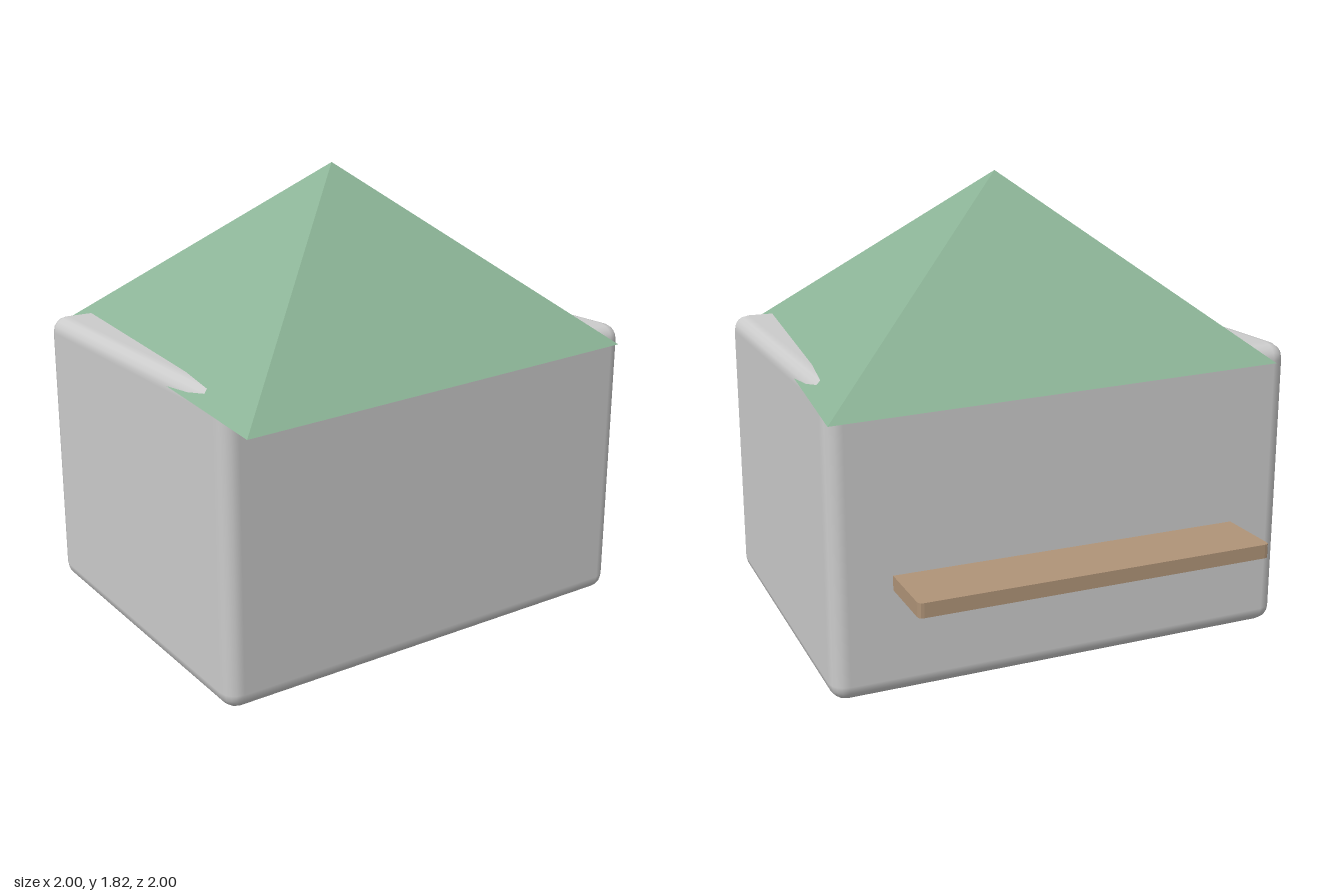
import * as THREE from 'three';
import { RoundedBoxGeometry } from 'three/addons/geometries/RoundedBoxGeometry.js';

const mat = (color, flatShading = false) => new THREE.MeshStandardMaterial({ color, flatShading });

function addMesh(group, name, geometry, material) {
  const mesh = new THREE.Mesh(geometry, material);
  mesh.name = name;
  group.add(mesh);
  return mesh;
}

// Flat board in the XZ plane with rounded vertical corners
function boardGeometry(w, d, h, r) {
  const x = w / 2, z = d / 2;
  const s = new THREE.Shape();
  s.moveTo(-x + r, -z);
  s.lineTo(x - r, -z);
  s.quadraticCurveTo(x, -z, x, -z + r);
  s.lineTo(x, z - r);
  s.quadraticCurveTo(x, z, x - r, z);
  s.lineTo(-x + r, z);
  s.quadraticCurveTo(-x, z, -x, z - r);
  s.lineTo(-x, -z + r);
  s.quadraticCurveTo(-x, -z, -x + r, -z);
  const g = new THREE.ExtrudeGeometry(s, { depth: h, bevelEnabled: false, curveSegments: 3 });
  return g.rotateX(-Math.PI / 2);
}

export function createModel() {
  const model = new THREE.Group();
  model.name = 'kiosk';

  // Walls: one softly rounded block
  const walls = addMesh(model, 'walls', new RoundedBoxGeometry(1.875, 1.17, 1.465, 2, 0.065), mat(0xcccccc));
  walls.position.y = 0.59;

  // Roof: four-sided pyramid, stretched along one diagonal
  const roofHeight = 0.695;
  const roofGeometry = new THREE.ConeGeometry(1, roofHeight, 4)
    .scale(1.16, 1, Math.SQRT2)
    .rotateY(-Math.PI / 4);
  const roof = addMesh(model, 'roof', roofGeometry, mat(0x8cb497, true));
  roof.position.y = 1.125 + roofHeight / 2;

  // Counter shelf on the back wall
  const shelf = addMesh(model, 'counterShelf', boardGeometry(1.41, 0.36, 0.055, 0.02), mat(0xb09478));
  shelf.position.set(0, 0.417, -0.82);

  return model;
}
